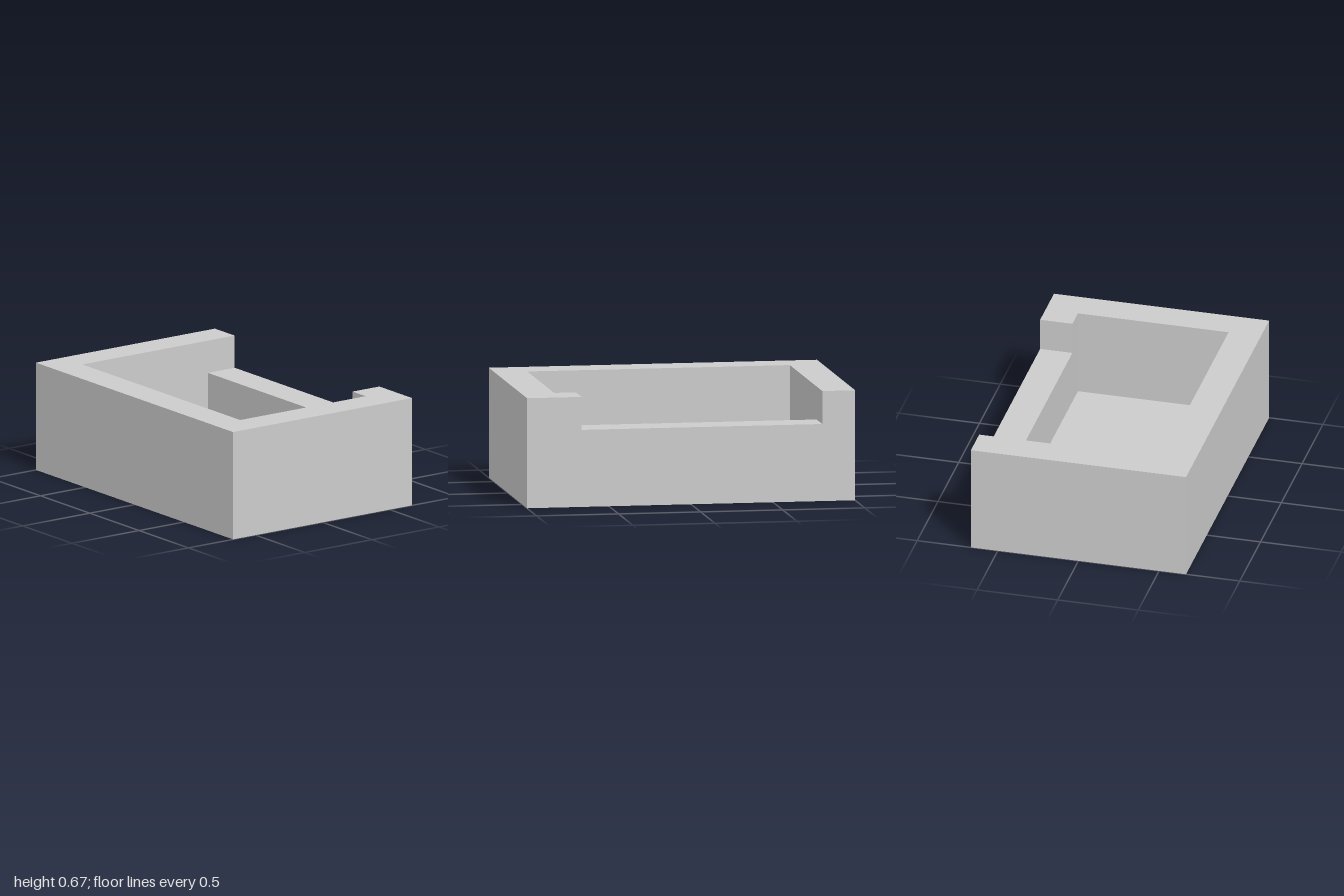
import * as THREE from 'three';
import { mergeGeometries } from 'three/addons/utils/BufferGeometryUtils.js';

const W = 0.667, L = 1, H = 0.667;       // outer half width, half length, height
const IW = 0.467, IL = 0.8, F = 0.133;   // cavity half width, half length, floor height
const S = 0.467, N = 0.667;              // notch sill height, notch front end (its back end is at -IL)

const Q = Math.PI / 2;
const rect = (x0, y0, x1, y1) => [[x0, y0], [x1, y0], [x1, y1], [x0, y1]];
const flat = (pts) => new THREE.ShapeGeometry(new THREE.Shape(pts.map((p) => new THREE.Vector2(...p))));

// Upright panel: turned about y, then pushed out by dist along its facing direction
const wall = (turn, dist, pts) => flat(pts).translate(0, 0, dist).rotateY(turn * Q);
// Level panel facing up, outline given as x, z
const level = (y, pts) => flat(pts.map(([x, z]) => [x, -z])).rotateX(-Q).translate(0, y, 0);

export function createModel() {
  const group = new THREE.Group();
  const material = new THREE.MeshStandardMaterial({ color: 0xcccccc, flatShading: true });
  const add = (name, panels) => {
    const mesh = new THREE.Mesh(mergeGeometries(panels), material);
    mesh.name = name;
    group.add(mesh);
  };

  // Outer walls; the left one is cut down by the notch
  add('outerWalls', [
    wall(0, L, rect(-W, 0, W, H)),
    wall(2, L, rect(-W, 0, W, H)),
    wall(-1, W, rect(-L, 0, L, H)),
    wall(1, W, [[-L, 0], [L, 0], [L, H], [IL, H], [IL, S], [-N, S], [-N, H], [-L, H]]),
  ]);

  add('underside', [flat(rect(-W, -L, W, L)).rotateX(Q)]);

  // Top rim, open where the notch crosses it
  add('rim', [level(H, [
    [W, N], [W, L], [-W, L], [-W, -L], [W, -L], [W, -IL],
    [-IW, -IL], [-IW, IL], [IW, IL], [IW, N],
  ])]);

  // Cavity walls; the back one runs on into the notch end
  add('cavityWalls', [
    wall(0, -IL, [[-IW, F], [IW, F], [IW, S], [W, S], [W, H], [-IW, H]]),
    wall(2, -IL, rect(-IW, F, IW, H)),
    wall(1, -IW, rect(-IL, F, IL, H)),
    wall(-1, -IW, [[-IL, F], [IL, F], [IL, H], [N, H], [N, S], [-IL, S]]),
  ]);

  add('cavityFloor', [level(F, rect(-IW, -IL, IW, IL))]);

  // Notch sill and its front end
  add('notch', [
    level(S, rect(IW, -IL, W, N)),
    wall(2, -N, rect(-W, S, -IW, H)),
  ]);

  return group;
}
